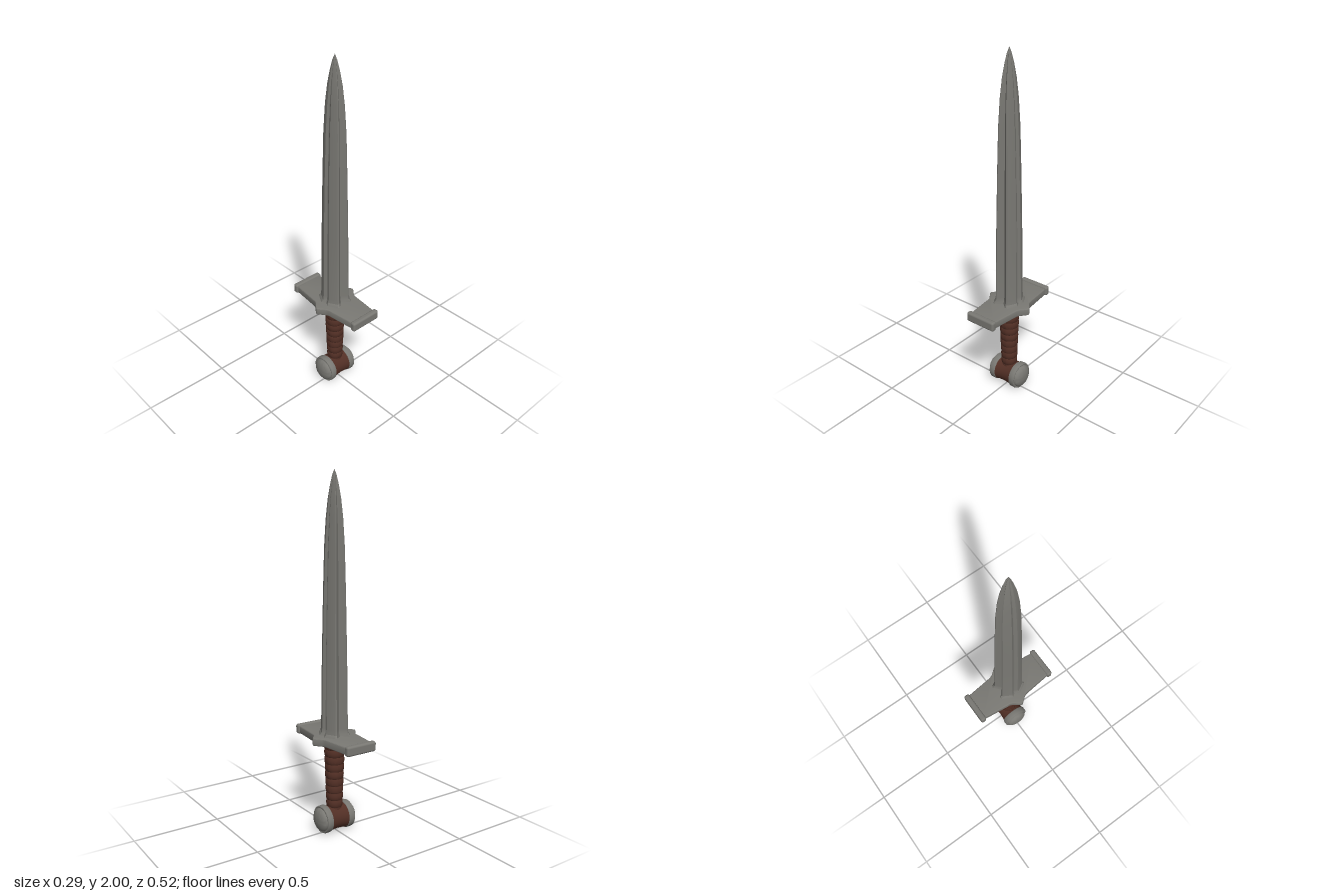
import * as THREE from 'three';
import { toCreasedNormals, mergeVertices } from 'three/addons/utils/BufferGeometryUtils.js';
import { RoundedBoxGeometry } from 'three/addons/geometries/RoundedBoxGeometry.js';

const steel = new THREE.MeshStandardMaterial({ color: 0x797873 });
steel.name = 'steel';
const leather = new THREE.MeshStandardMaterial({ color: 0x522f25 });
leather.name = 'leather';

function part(name, geometry, material, parent) {
  const mesh = new THREE.Mesh(geometry, material);
  mesh.name = name;
  parent.add(mesh);
  return mesh;
}

function lathe(points, segments = 40) {
  const g = new THREE.LatheGeometry(points.map(([r, y]) => new THREE.Vector2(r, y)), segments);
  return toCreasedNormals(g, 0.6);
}

// Loft a four-lobed section along the blade; each ring is [y, half width x, half depth z]
function bladeGeometry() {
  const quarter = [[0, 0.62], [0.1, 0.68], [0.5, 1], [0.62, 0.96], [0.98, 0.36], [1, 0.27], [0.84, 0.04]];
  const mirrored = quarter.map(([x, z]) => [x, -z]).reverse();
  const half = [...quarter, ...mirrored];
  const section = [...half, ...half.slice(1, -1).map(([x, z]) => [-x, z]).reverse()];
  const rings = [
    [0.555, 0.085, 0.092], [0.572, 0.08, 0.086], [0.585, 0.071, 0.076], [0.61, 0.068, 0.073],
    [1.0, 0.064, 0.067], [1.35, 0.056, 0.061], [1.6, 0.048, 0.056], [1.75, 0.039, 0.048],
    [1.85, 0.03, 0.037], [1.92, 0.02, 0.024], [1.97, 0.01, 0.012], [2.0, 0.0005, 0.0005],
  ];
  const pos = [], index = [], n = section.length;
  for (const [y, sx, sz] of rings) for (const [x, z] of section) pos.push(x * sx, y, z * sz);
  for (let i = 0; i < rings.length - 1; i++) {
    for (let j = 0; j < n; j++) {
      const a = i * n + j, b = i * n + (j + 1) % n;
      index.push(a, b, b + n, a, b + n, a + n);
    }
  }
  const g = new THREE.BufferGeometry();
  g.setAttribute('position', new THREE.Float32BufferAttribute(pos, 3));
  g.setIndex(index);
  return toCreasedNormals(g, 0.5);
}

// Flat crossguard plate, tapering to the ends with a point on each side
function guardGeometry() {
  const bevel = 0.006;
  const side = [[0.083, -0.24], [0.103, -0.06], [0.112, -0.042], [0.138, -0.01], [0.143, 0],
    [0.138, 0.01], [0.112, 0.042], [0.103, 0.06], [0.083, 0.24]];
  const outline = [...side, ...side.map(([x, z]) => [-x, z]).reverse()];
  const shape = new THREE.Shape(outline.map(([x, z]) => new THREE.Vector2(x, z)));
  const g = new THREE.ExtrudeGeometry(shape, {
    depth: 0.032, bevelEnabled: true, bevelSize: bevel, bevelThickness: bevel, bevelOffset: -bevel, bevelSegments: 3,
  });
  g.rotateX(-Math.PI / 2);
  g.translate(0, 0.532, 0);
  g.deleteAttribute('uv');
  g.deleteAttribute('normal');
  return toCreasedNormals(mergeVertices(g), 0.6);
}

export function createModel() {
  const sword = new THREE.Group();
  sword.name = 'sword';

  part('blade', bladeGeometry(), steel, sword);

  // Crossguard with a rounded bar at each end
  const guard = new THREE.Group();
  guard.name = 'crossguard';
  sword.add(guard);
  part('guardPlate', guardGeometry(), steel, guard);
  for (const s of [1, -1]) {
    const bar = part('guardEndBar', new RoundedBoxGeometry(0.19, 0.056, 0.034, 4, 0.012), steel, guard);
    bar.position.set(0, 0.552, s * 0.244);
  }

  // Wrapped grip: a stack of slightly bulging bands
  const grip = [[0.044, 0.12]];
  const bands = 9, y0 = 0.145, step = (0.53 - y0) / bands;
  for (let i = 0; i < bands; i++) {
    const y = y0 + i * step;
    const r = 0.046 + 0.012 * (i / (bands - 1));
    grip.push([r - 0.004, y], [r, y + step * 0.15], [r + 0.001, y + step * 0.5], [r, y + step * 0.85]);
  }
  grip.push([0.054, 0.53]);
  part('grip', lathe(grip), leather, sword);

  // Pommel: waisted leather drum lying across, with a domed steel cap on each side
  const pommel = new THREE.Group();
  pommel.name = 'pommel';
  pommel.position.y = 0.079;
  sword.add(pommel);
  const drum = part('pommelDrum',
    lathe([[0.075, -0.056], [0.071, -0.04], [0.068, 0], [0.071, 0.04], [0.075, 0.056]]), leather, pommel);
  drum.rotation.z = -Math.PI / 2;
  const cap = [[0, 0.052], [0.072, 0.052], [0.077, 0.055], [0.079, 0.062], [0.079, 0.084], [0.077, 0.09],
    [0.073, 0.092], [0.068, 0.09]];
  for (let i = 0; i <= 8; i++) {
    const t = (i / 8) * Math.PI / 2;
    cap.push([0.067 * Math.cos(t), 0.09 + 0.03 * Math.sin(t)]);
  }
  for (const s of [1, -1]) {
    part('pommelCap', lathe(cap), steel, pommel).rotation.z = -s * Math.PI / 2;
  }
  return sword;
}
